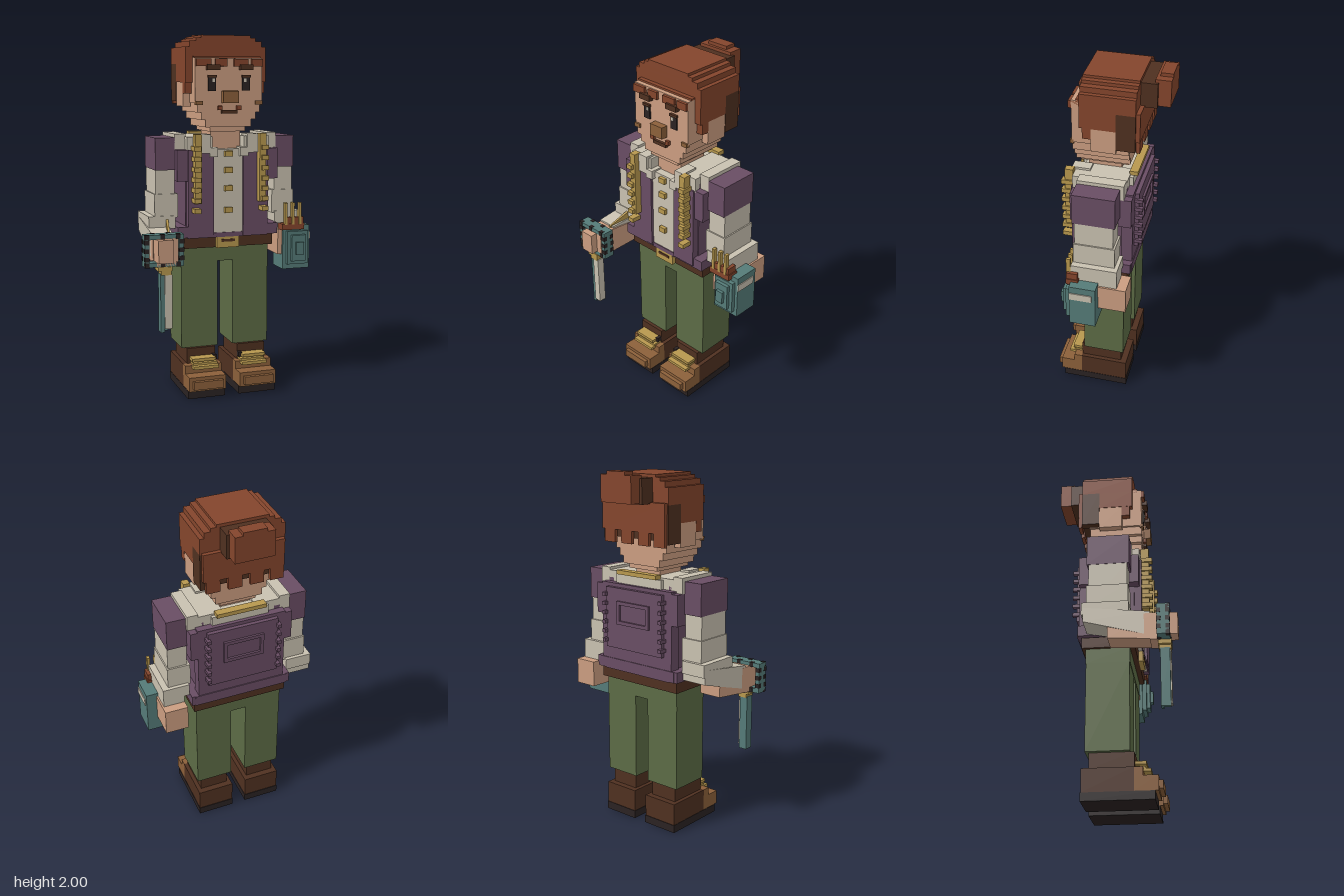
import * as THREE from 'three';

const colours = {
  rust: 0x84452c, darkBrown: 0x4f3020, skin: 0xcb9d80, purple: 0x694d64, cream: 0xc9c1b0,
  gold: 0xb8984e, green: 0x5c6b45, black: 0x2a2222, teal: 0x557b78, tan: 0x8c603a,
};

export function createModel() {
  const root = new THREE.Group();
  root.name = 'blockFigure';
  const mats = {};
  for (const [name, color] of Object.entries(colours)) {
    mats[name] = new THREE.MeshStandardMaterial({ color });
    mats[name].name = name;
  }
  let group = root;
  const part = (name) => {
    group = new THREE.Group();
    group.name = name;
    root.add(group);
  };
  // box given by its limits on each axis
  const box = (name, mat, x0, x1, y0, y1, z0, z1) => {
    const mesh = new THREE.Mesh(new THREE.BoxGeometry(x1 - x0, y1 - y0, z1 - z0), mats[mat]);
    mesh.position.set((x0 + x1) / 2, (y0 + y1) / 2, (z0 + z1) / 2);
    mesh.name = name;
    group.add(mesh);
    return mesh;
  };
  // box and its mirror image across x = 0
  const pair = (name, mat, x0, x1, ...yz) => {
    box(name + 'Left', mat, x0, x1, ...yz);
    box(name + 'Right', mat, -x1, -x0, ...yz);
  };
  // box centred on x = 0
  const mid = (name, mat, w, ...yz) => box(name, mat, -w, w, ...yz);
  // box whose back and front ends are different rectangles [x0, x1, y0, y1]
  const taper = (name, mat, z0, back, z1, front) => {
    const geo = new THREE.BoxGeometry(1, 1, 1);
    const p = geo.attributes.position;
    for (let i = 0; i < p.count; i++) {
      const r = p.getZ(i) > 0 ? front : back;
      p.setXYZ(i, p.getX(i) > 0 ? r[1] : r[0], p.getY(i) > 0 ? r[3] : r[2], p.getZ(i) > 0 ? z1 : z0);
    }
    geo.computeVertexNormals();
    const mesh = new THREE.Mesh(geo, mats[mat]);
    mesh.name = name;
    group.add(mesh);
  };

  // boots
  part('boots');
  pair('sole', 'black', 0.04, 0.255, 0, 0.045, -0.178, 0.2);
  pair('heel', 'darkBrown', 0.042, 0.253, 0.045, 0.17, -0.175, 0.095);
  pair('shaft', 'darkBrown', 0.065, 0.23, 0.17, 0.256, -0.14, 0.095);
  pair('toe', 'tan', 0.042, 0.253, 0.045, 0.125, 0.095, 0.218);
  pair('toeCap', 'tan', 0.062, 0.232, 0.06, 0.105, 0.218, 0.24);
  pair('tongue', 'tan', 0.042, 0.253, 0.125, 0.17, 0.095, 0.14);
  pair('lowerLace', 'gold', 0.07, 0.215, 0.155, 0.172, 0.14, 0.178);
  pair('middleLace', 'gold', 0.07, 0.21, 0.172, 0.184, 0.095, 0.15);
  pair('upperLace', 'gold', 0.08, 0.215, 0.193, 0.21, 0.095, 0.155);
  pair('laceLoop', 'black', 0.065, 0.085, 0.188, 0.216, 0.095, 0.125);

  // trousers and belt
  part('trousers');
  pair('leg', 'green', 0.045, 0.255, 0.256, 0.745, -0.158, 0.075);
  mid('hips', 'green', 0.255, 0.742, 0.83, -0.16, 0.078);
  part('belt');
  mid('strap', 'darkBrown', 0.272, 0.825, 0.885, -0.18, 0.105);
  mid('buckle', 'gold', 0.065, 0.825, 0.885, 0.105, 0.13);
  mid('buckleSlot', 'darkBrown', 0.04, 0.858, 0.872, 0.13, 0.134);

  // shirt and waistcoat
  part('torso');
  mid('shirt', 'cream', 0.225, 0.885, 1.37, -0.15, 0.125);
  pair('waistcoatFront', 'purple', 0.085, 0.23, 0.9, 1.37, 0.05, 0.14);
  pair('waistcoatSide', 'purple', 0.2, 0.235, 0.9, 1.4, -0.16, 0.1);
  pair('armhole', 'purple', 0.23, 0.29, 1.2, 1.37, -0.2, 0.13);
  mid('waistcoatBack', 'purple', 0.25, 0.92, 1.38, -0.2, -0.14);
  mid('backPanel', 'purple', 0.2, 1.02, 1.36, -0.222, -0.2);
  pair('panelFrameSide', 'purple', 0.095, 0.115, 1.16, 1.29, -0.234, -0.222);
  for (const y of [1.16, 1.27]) mid('panelFrameBar', 'purple', 0.095, y, y + 0.02, -0.234, -0.222);
  for (let i = 0; i < 6; i++) {
    const y = 1.05 + i * 0.052;
    pair('backStud', 'purple', 0.19, 0.212, y, y + 0.02, -0.244, -0.2);
  }
  mid('waistcoatHem', 'purple', 0.23, 0.885, 0.91, -0.2, 0.13);
  pair('hemFlap', 'purple', 0.085, 0.29, 0.89, 0.95, -0.2, 0.135);
  mid('backHem', 'purple', 0.27, 0.89, 0.95, -0.205, -0.14);

  // collar, trims and buttons
  pair('shoulderYoke', 'cream', 0.09, 0.235, 1.36, 1.44, -0.16, 0.13);
  pair('shoulderRidge', 'cream', 0.23, 0.292, 1.37, 1.455, -0.16, 0.09);
  pair('collarFront', 'cream', 0.105, 0.165, 1.35, 1.452, 0.05, 0.15);
  pair('collarStep', 'cream', 0.065, 0.11, 1.33, 1.38, 0.08, 0.15);
  mid('collarBack', 'cream', 0.16, 1.37, 1.43, -0.18, -0.1);
  mid('collarTrim', 'gold', 0.14, 1.432, 1.455, -0.2, -0.155);
  pair('trim', 'gold', 0.165, 0.203, 1.08, 1.455, 0.135, 0.18);
  for (let i = 0; i < 7; i++) {
    const y = 1.03 + i * 0.056;
    pair('trimStud', 'gold', 0.175, 0.212, y, y + 0.025, 0.135, 0.198);
  }
  for (const y of [1.02, 1.14, 1.24, 1.33]) mid('button', 'gold', 0.022, y, y + 0.03, 0.125, 0.145);

  // sleeves
  part('sleeves');
  pair('shoulder', 'purple', 0.29, 0.4, 1.26, 1.435, -0.14, 0.09);
  pair('upperSleeve', 'cream', 0.29, 0.398, 1.0, 1.26, -0.13, 0.078);
  pair('sleeveFold', 'cream', 0.275, 0.405, 1.0, 1.13, -0.14, 0.085);
  pair('cuff', 'cream', 0.29, 0.44, 0.94, 1.01, -0.16, 0.09);

  // left hand with pouch
  part('leftHandAndPouch');
  box('hand', 'skin', 0.32, 0.45, 0.755, 0.9, -0.212, 0.07);
  box('wrist', 'cream', 0.32, 0.44, 0.9, 0.95, -0.16, 0.05);
  box('pouch', 'teal', 0.345, 0.508, 0.67, 0.92, -0.06, 0.085);
  box('pouchFrontStep', 'teal', 0.365, 0.49, 0.7, 0.89, 0.085, 0.108);
  box('pouchFrontPanel', 'teal', 0.385, 0.47, 0.72, 0.87, 0.108, 0.128);
  box('pouchFrontBoss', 'teal', 0.405, 0.45, 0.76, 0.83, 0.128, 0.145);
  box('pouchBand', 'cream', 0.508, 0.513, 0.838, 0.88, -0.04, 0.085);
  box('clasp', 'rust', 0.33, 0.465, 0.9, 0.935, 0.045, 0.112);
  box('claspTop', 'rust', 0.355, 0.46, 0.935, 0.972, 0.05, 0.11);
  for (const x of [0.345, 0.388, 0.43]) box('prong', 'gold', x, x + 0.016, 0.93, 1.055, 0.09, 0.114);

  // right forearm and hand
  part('rightArm');
  taper('forearmSleeve', 'cream', -0.15, [-0.44, -0.29, 0.9, 0.98], 0.2, [-0.452, -0.34, 0.8, 0.935]);
  taper('wrist', 'skin', -0.02, [-0.44, -0.31, 0.8, 0.92], 0.24, [-0.455, -0.335, 0.775, 0.925]);
  box('hand', 'skin', -0.452, -0.335, 0.775, 0.925, 0.2, 0.305);
  box('knuckles', 'skin', -0.452, -0.37, 0.8, 0.922, 0.305, 0.345);
  taper('cuffPin', 'gold', 0.09, [-0.345, -0.33, 0.95, 0.99], 0.21, [-0.365, -0.355, 0.91, 0.935]);

  // hollow chequered guard, grip end and blade
  part('sword');
  const x0 = -0.515, x1 = -0.305, y0 = 0.775, y1 = 0.945, t = 0.024;
  box('guardTop', 'teal', x0, x1, y1 - t, y1, 0.24, 0.305);
  box('guardBottom', 'teal', x0, x1, y0, y0 + t, 0.24, 0.305);
  box('guardOuter', 'teal', x0, x0 + t, y0 + t, y1 - t, 0.24, 0.305);
  box('guardInner', 'teal', x1 - t, x1, y0 + t, y1 - t, 0.24, 0.305);
  for (let i = 0; i < 5; i++) {
    const x = x0 + i * 0.042;
    const z = i % 2 ? 0.238 : 0.285;
    box('topCheck', 'black', x, x + t, y1 - t, y1 + 0.002, z, z + 0.022);
    box('bottomCheck', 'black', x, x + t, y0 - 0.002, y0 + t, z, z + 0.022);
  }
  for (let i = 0; i < 3; i++) {
    const y = y0 + 0.03 + i * 0.045;
    box('outerCheck', 'black', x0 - 0.002, x0 + t, y, y + t, 0.285, 0.307);
    box('outerBackCheck', 'black', x0 - 0.002, x0 + t, y, y + t, 0.238, 0.26);
    box('innerCheck', 'black', x1 - t, x1 + 0.002, y, y + t, 0.285, 0.307);
    box('innerBackCheck', 'black', x1 - t, x1 + 0.002, y, y + t, 0.238, 0.26);
  }
  box('collar', 'gold', -0.445, -0.37, 0.752, 0.775, 0.24, 0.31);
  box('lowerCollar', 'gold', -0.428, -0.375, 0.73, 0.752, 0.245, 0.308);
  box('blade', 'cream', -0.41, -0.37, 0.44, 0.735, 0.262, 0.306);
  box('bladeEdge', 'teal', -0.432, -0.41, 0.42, 0.735, 0.25, 0.3);
  box('bladeBack', 'teal', -0.432, -0.385, 0.42, 0.735, 0.25, 0.262);

  // head
  part('head');
  mid('neck', 'skin', 0.085, 1.35, 1.48, -0.1, 0.08);
  mid('chin', 'skin', 0.1, 1.465, 1.5, -0.14, 0.12);
  mid('lowerJaw', 'skin', 0.13, 1.49, 1.53, -0.155, 0.135);
  mid('jaw', 'skin', 0.155, 1.53, 1.57, -0.155, 0.138);
  mid('cheeks', 'skin', 0.178, 1.57, 1.62, -0.157, 0.14);
  mid('face', 'skin', 0.19, 1.62, 1.86, -0.16, 0.14);
  pair('ear', 'skin', 0.185, 0.226, 1.6, 1.73, -0.1, 0.03);
  pair('earring', 'tan', 0.15, 0.19, 1.61, 1.632, 0.13, 0.15);
  mid('nose', 'tan', 0.043, 1.62, 1.685, 0.14, 0.18);
  mid('mouth', 'darkBrown', 0.045, 1.563, 1.582, 0.135, 0.156);
  pair('mouthCorner', 'rust', 0.042, 0.066, 1.582, 1.605, 0.135, 0.156);
  pair('eye', 'black', 0.075, 0.118, 1.685, 1.76, 0.14, 0.148);
  pair('eyeGlint', 'cream', 0.083, 0.096, 1.732, 1.75, 0.148, 0.151);
  pair('eyelid', 'darkBrown', 0.072, 0.122, 1.755, 1.768, 0.14, 0.154);
  pair('eyebrow', 'darkBrown', 0.058, 0.13, 1.795, 1.825, 0.14, 0.168);

  // hair: stepped cap, fringe, sides and bun
  part('hair');
  mid('cap', 'rust', 0.229, 1.83, 1.92, -0.2, 0.09);
  mid('capStep', 'rust', 0.205, 1.92, 1.95, -0.2, 0.09);
  mid('capUpper', 'rust', 0.17, 1.95, 1.968, -0.2, 0.09);
  mid('capTop', 'rust', 0.14, 1.968, 1.982, -0.2, 0.09);
  mid('hairline', 'rust', 0.19, 1.845, 1.87, 0.08, 0.115);
  for (const [a, b] of [[-0.187, -0.105], [-0.08, -0.015], [0.025, 0.107], [0.125, 0.19]])
    box('fringe', 'rust', a, b, 1.815, 1.855, 0.1, 0.156);
  pair('side', 'rust', 0.185, 0.229, 1.73, 1.83, -0.1, 0.09);
  pair('sideburn', 'rust', 0.185, 0.228, 1.67, 1.73, 0.03, 0.075);
  pair('backSide', 'darkBrown', 0.18, 0.229, 1.625, 1.83, -0.2, -0.1);
  mid('nape', 'darkBrown', 0.185, 1.64, 1.83, -0.2, -0.15);
  mid('backLayer', 'rust', 0.22, 1.68, 1.84, -0.222, -0.2);
  for (const x of [-0.22, -0.11, 0.01, 0.13]) box('backLock', 'rust', x, x + 0.075, 1.61, 1.68, -0.22, -0.2);
  mid('bunTie', 'darkBrown', 0.122, 1.832, 1.965, -0.285, -0.2);
  mid('bun', 'rust', 0.106, 1.838, 1.982, -0.35, -0.268);
  mid('bunTop', 'rust', 0.063, 1.982, 2.0, -0.35, -0.285);

  return root;
}
